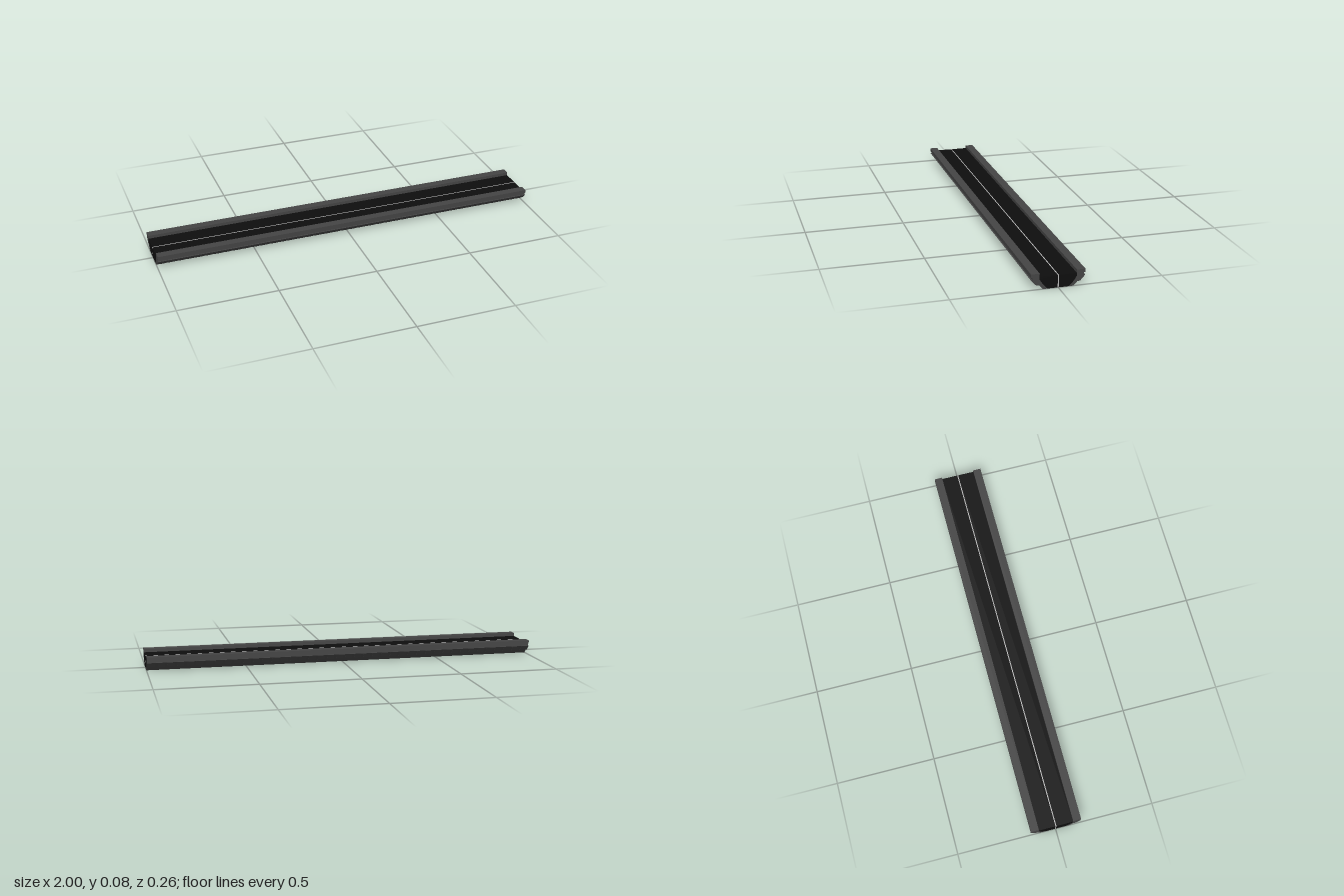
import * as THREE from 'three';

const LENGTH = 2;
const railMat = new THREE.MeshStandardMaterial({ color: 0x444444 });
const roadMat = new THREE.MeshStandardMaterial({ color: 0x0e0e0e });
const lineMat = new THREE.MeshStandardMaterial({ color: 0xbbbbbb });

// Extrudes a [z, y] profile along x, centred on x = at
function bar(name, profile, side, length, material, at = 0) {
  const shape = new THREE.Shape(profile.map(([z, y]) => new THREE.Vector2(-z * side, y)));
  const geometry = new THREE.ExtrudeGeometry(shape, { depth: length, bevelEnabled: false });
  geometry.translate(0, 0, -length / 2).rotateY(Math.PI / 2);
  const mesh = new THREE.Mesh(geometry, material);
  mesh.name = name;
  mesh.position.x = at;
  return mesh;
}

export function createModel() {
  const model = new THREE.Group();
  model.name = 'trackSection';

  // Rail: square cap, narrow slot, then a stepped slope in to the base
  const rail = [
    [0.0875, 0.076], [0.128, 0.076], [0.128, 0.06], [0.121, 0.06], [0.121, 0.047],
    [0.128, 0.047], [0.126, 0.0465], [0.103, 0.0205], [0.091, 0.0205],
    [0.071, 0], [0.05, 0], [0.073, 0.024], [0.0875, 0.047],
  ];
  // Shallow rib lying on the rail's upper slope
  const rib = [[0.128, 0.047], [0.126, 0.0465], [0.103, 0.0205], [0.105, 0.0205]];
  // Half of the roadway, filling the space between rail and centre line
  const road = [[0.0025, 0], [0.05, 0], [0.073, 0.024], [0.0875, 0.047], [0.0875, 0.06], [0.0025, 0.06]];

  const ribCount = 42;
  const pitch = LENGTH / ribCount;
  for (const side of [1, -1]) {
    const end = side > 0 ? 'front' : 'back';
    model.add(bar(end + 'Rail', rail, side, LENGTH, railMat));
    model.add(bar(end + 'Roadway', road, side, LENGTH, roadMat));
    const ribs = new THREE.Group();
    ribs.name = end + 'Ribs';
    for (let i = 0; i < ribCount; i++) {
      ribs.add(bar('rib', rib, side, pitch * 0.7, railMat, -LENGTH / 2 + (i + 0.5) * pitch));
    }
    model.add(ribs);
  }

  // Centre line running through the full depth of the roadway
  const line = new THREE.Mesh(new THREE.BoxGeometry(LENGTH, 0.06, 0.005), lineMat);
  line.name = 'centreLine';
  line.position.y = 0.03;
  model.add(line);
  return model;
}
